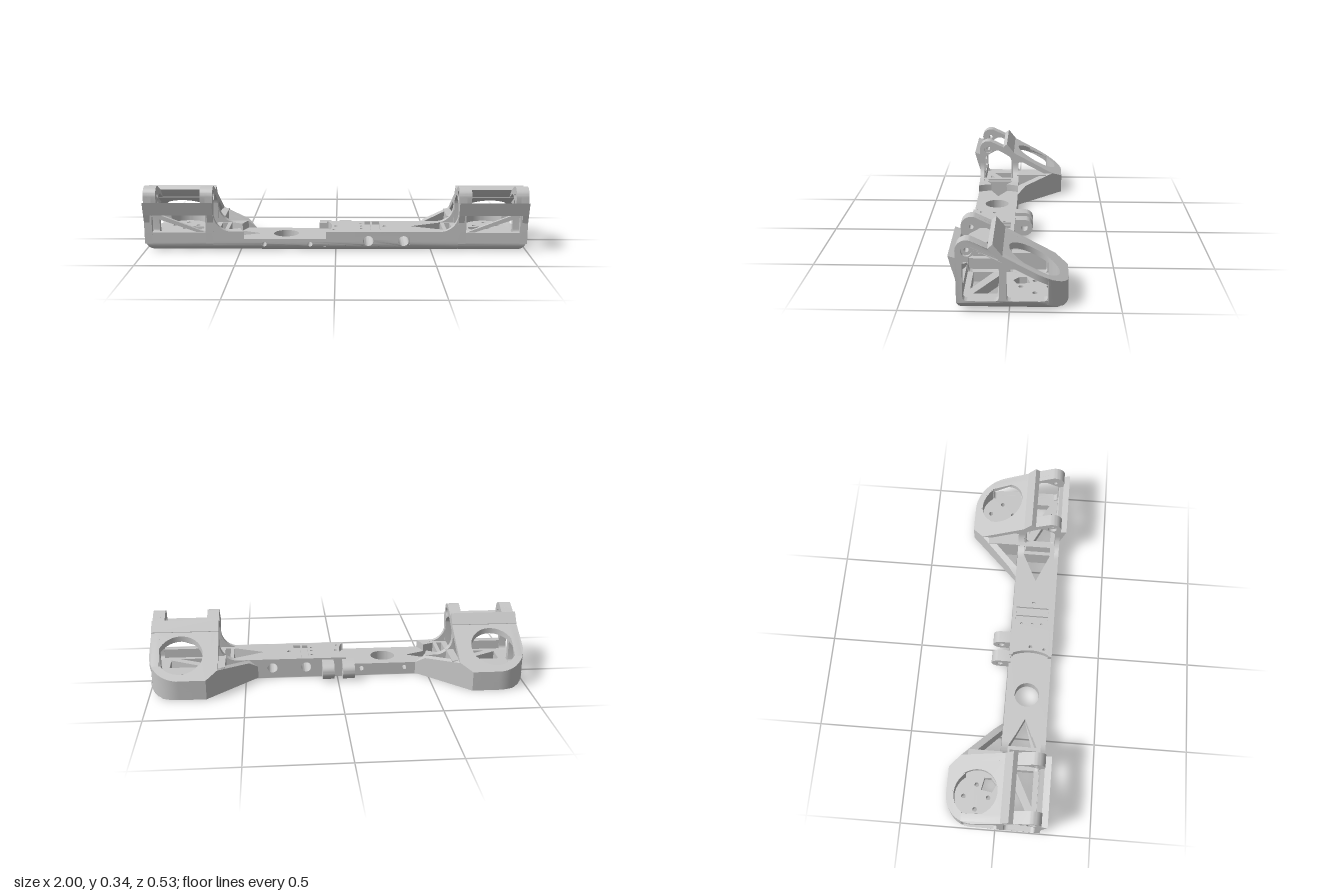
import * as THREE from 'three';
import { toCreasedNormals } from 'three/addons/utils/BufferGeometryUtils.js';

const grey = new THREE.MeshStandardMaterial({ color: 0xc6c6c6 });
grey.name = 'grey';

// Points of an arc, angles in degrees
function arc(cx, cy, r, a0, a1, n = 16) {
  return Array.from({ length: n + 1 }, (_, i) => {
    const a = THREE.MathUtils.degToRad(a0 + (a1 - a0) * i / n);
    return [cx + r * Math.cos(a), cy + r * Math.sin(a)];
  });
}
const circle = (cx, cy, r) => arc(cx, cy, r, 0, 352.5, 47);
const rect = (a0, b0, a1, b1) => [[a0, b0], [a1, b0], [a1, b1], [a0, b1]];

// Polygon with rounded corners
function rounded(pts, r) {
  const v = pts.map(p => new THREE.Vector2(...p)), out = [];
  v.forEach((p, i) => {
    const a = v[(i + v.length - 1) % v.length], b = v[(i + 1) % v.length];
    const s = p.clone().add(a.clone().sub(p).setLength(r));
    const e = p.clone().add(b.clone().sub(p).setLength(r));
    new THREE.QuadraticBezierCurve(s, p, e).getPoints(6).forEach(q => out.push([q.x, q.y]));
  });
  return out;
}

// Extrude an outline: axis x takes [z, y], axis y takes [x, z], axis z takes [x, y]
function extrude(axis, from, to, outline, holes = [], steps = 1) {
  const map = (p, clockwise) => {
    const v = p.map(([a, b]) => new THREE.Vector2(axis === 'x' ? -a : a, axis === 'y' ? -b : b));
    return THREE.ShapeUtils.isClockWise(v) === clockwise ? v : v.reverse();
  };
  const shape = new THREE.Shape(map(outline, false));
  holes.forEach(h => shape.holes.push(new THREE.Path(map(h, true))));
  const g = new THREE.ExtrudeGeometry(shape, { depth: to - from, bevelEnabled: false, steps });
  g.translate(0, 0, from);
  if (axis === 'x') g.rotateY(Math.PI / 2);
  if (axis === 'y') g.rotateX(-Math.PI / 2);
  return g;
}

// Move every vertex by a rule
function warp(g, rule) {
  const p = g.attributes.position, v = new THREE.Vector3();
  for (let i = 0; i < p.count; i++) {
    rule(v.fromBufferAttribute(p, i));
    p.setXYZ(i, v.x, v.y, v.z);
  }
  return g;
}

// Mirrored copy in x with corrected winding
function mirror(g) {
  const m = g.clone().scale(-1, 1, 1);
  const p = m.attributes.position, a = new THREE.Vector3(), b = new THREE.Vector3();
  for (let i = 0; i < p.count; i += 3) {
    a.fromBufferAttribute(p, i + 1);
    b.fromBufferAttribute(p, i + 2);
    p.setXYZ(i + 1, b.x, b.y, b.z);
    p.setXYZ(i + 2, a.x, a.y, a.z);
  }
  return m;
}

// Edge limit at height y for a rounded bottom edge
const limit = (y, edge, r) => y >= r ? edge : edge - r + Math.sqrt(Math.max(0, r * r - (r - y) ** 2));
const slope = z => 0.105 + 0.54 * (z + 0.266);
const roundBar = g => warp(g, v => { v.z = Math.min(v.z, limit(v.y, 0.235, 0.045)); });
const roundFloor = g => roundBar(warp(g, v => { v.x = Math.min(v.x, limit(v.y, 1, 0.07)); }));

// Parts of the +x bracket
function bracketParts() {
  const parts = [], add = (name, g) => parts.push([name, g]);
  const cx = 0.84, cz = -0.106, R = 0.16, r = 0.12;
  const rear = [...arc(cx, cz, R, 0, -90), [0.70, -0.266], [0.64, -0.206]];

  // Floor with truss cutouts, screw holes and a cable opening
  add('bracketFloor', roundFloor(extrude('y', 0, 0.05, [[0.64, 0.235], [1, 0.235], ...rear], [
    [[0.68, 0.182], [0.68, 0.085], [0.87, 0.182]],
    [[0.72, 0.055], [0.92, 0.055], [0.92, 0.165]],
    ...[[0, 1], [1, 0], [0, -1], [-1, 0]].map(([a, b]) => circle(cx + a * 0.065, -0.113 + b * 0.065, 0.012)),
    [[0.80, -0.09], [0.735, -0.075], [0.735, -0.04], [0.77, -0.01], [0.81, -0.03]],
  ], 8)));

  // Curved rear wall following the sloped top
  add('bracketRearWall', warp(extrude('y', 0, 1, [
    ...arc(cx, cz, R, -25.5, -90), [0.70, -0.266], [0.64, -0.206], [0.64, -0.175],
    ...arc(cx, cz, r, -145, -35, 24)]), v => { v.y = 0.045 + v.y * (slope(v.z) - 0.046); }));

  // Sloped top plate with the round opening
  add('bracketTopPlate', warp(extrude('y', 0, 1, [[0.64, 0.05], [1, 0.05], ...rear],
    [circle(cx, -0.115, r)]), v => { v.y = slope(v.z) - 0.03 * (1 - v.y); }));

  // Side plates with two windows and a hinge hole
  const hinge = arc(0.187, 0.288, 0.05, 118, 0);
  const outline = [[0.235, 0.04], [-0.175, 0.04], [-0.175, slope(-0.175)], [0.095, 0.30], ...hinge];
  const windows = [
    rounded([[0.207, 0.05], [0.045, 0.05], [0.045, 0.235], [0.13, 0.285], [0.207, 0.24]], 0.022),
    rounded([[0.012, 0.05], [-0.171, 0.05], [-0.171, 0.127], [-0.025, 0.208], [0.012, 0.2]], 0.018),
  ];
  const plate = (a, b) => extrude('x', a, b, outline, [...windows, circle(0.187, 0.288, 0.025)]);
  add('outerSidePlate', warp(plate(0.96, 1), v => { if (v.z < -0.15) v.x -= 0.015; }));
  add('innerSidePlate', plate(0.64, 0.68));

  // Thick upper rails carrying the hinge bores
  const rail = [[0.233, 0.25], [0.205, 0.25], [0.145, 0.283], [0.115, 0.283], [0.05, 0.248], [0.04, 0.268], [0.095, 0.299], ...hinge];
  for (const [a, b] of [[0.935, 0.985], [0.655, 0.705]])
    add('hingeRail', extrude('x', a, b, rail, [circle(0.187, 0.288, 0.011)]));

  // Cross ridge behind the hinge
  add('rearRidge', extrude('x', 0.64, 1, [[0.095, 0.30], [0.072, 0.32], [0.03, 0.268], [0.03, 0.24], [0.048, 0.25]]));

  // Front sill, tilted lip and diagonal brace
  add('frontSill', extrude('x', 0.64, 0.997, rect(0.209, 0.045, 0.235, 0.1)));
  add('frontLip', extrude('x', 0.64, 1, [[0.268, 0.265], [0.249, 0.195], [0.215, 0.195], [0.235, 0.255]]));
  for (const [a, b] of [[0.64, 0.67], [0.97, 1]])
    add('lipGusset', extrude('x', a, b, [[0.25, 0.2], [0.235, 0.15], [0.22, 0.15], [0.22, 0.2]]));
  add('frontBrace', extrude('z', 0.21, 0.228, [[0.67, 0.095], [0.71, 0.095], [0.97, 0.185], [0.97, 0.2], [0.94, 0.2]]));

  // Diagonal strut from the beam to the rear of the bracket
  add('diagonalStrut', warp(extrude('y', 0, 1, [[0.434, 0], [0.48, -0.046], [0.6, -0.166], [0.64, -0.206],
    [0.66, -0.18], [0.64, -0.16], [0.6, -0.118], [0.482, 0]]), v => {
    v.y *= v.x < 0.45 ? 0.065 : 0.105 + Math.max(0, v.x - 0.6) * 0.75;
  }));
  add('innerRib', extrude('y', 0, 0.135, rect(0.605, -0.17, 0.645, 0.01)));

  // Curved fillets joining the beam to the inner side plate
  for (const [a, b] of [[0.21, 0.235], [0, 0.035]])
    add('beamFillet', extrude('z', a, b, [[0.55, 0.1], [0.645, 0.1], [0.645, 0.2], ...arc(0.545, 0.2, 0.095, 0, -90)]));
  return parts;
}

export function createModel() {
  const model = new THREE.Group();
  model.name = 'mountingBeam';
  const put = (name, g, parent = model) => {
    g.deleteAttribute('uv');
    g.deleteAttribute('normal');
    const mesh = new THREE.Mesh(toCreasedNormals(g, 0.6), grey);
    mesh.name = name;
    parent.add(mesh);
  };

  // Both end brackets
  const left = new THREE.Group(), right = new THREE.Group();
  left.name = 'leftBracket';
  right.name = 'rightBracket';
  model.add(left, right);
  for (const [name, g] of bracketParts()) {
    put(name, mirror(g), right);
    put(name, g, left);
  }

  // Beam ends with triangular cutouts and slots
  const triangle = [[0.40, 0.115], [0.565, 0.035], [0.565, 0.187]];
  const slot = rect(0.585, 0.045, 0.615, 0.185);
  const end = h => roundBar(extrude('y', 0, h, rect(0.385, 0, 0.645, 0.235), [triangle, slot], 10));
  put('leftBeamEnd', end(0.105));
  put('rightBeamEnd', mirror(end(0.065)));

  // Raised right end, cut by the round recess
  const hx = -0.265, hz = 0.1175, rr = 0.245;
  put('rightRaisedEnd', extrude('y', 0.06, 0.105, [
    [-0.645, 0], ...arc(hx, hz, rr, 208.7, 191.5, 6), [-0.565, 0.035], [-0.565, 0.187],
    ...arc(hx, hz, rr, 170, 151.3, 6), [-0.645, 0.235]], [slot.map(([x, z]) => [-x, z])]));

  // Beam underside with one through hole and two pockets
  const bores = [hx, 0, 0.26];
  put('beamBottom', roundBar(extrude('y', 0, 0.022, rect(-0.39, 0, 0.39, 0.235),
    bores.map(x => circle(x, 0.115, 0.067)), 4)));
  for (const x of bores.slice(1)) put('pocketFloor', extrude('y', 0.019, 0.024, circle(x, 0.115, 0.07)));
  put('throughBore', extrude('y', 0.002, 0.064, circle(hx, 0.115, 0.071), [circle(hx, 0.115, 0.067)]));

  // Beam front and back walls, with cross bores lined by tubes
  const cross = [[-0.375, 0.037, 0.013], [-0.135, 0.037, 0.013], [0.17, 0.055, 0.027], [0.355, 0.055, 0.027]];
  const wall = [[-0.39, 0.02], [0.39, 0.02], [0.39, 0.105], [-0.049, 0.105], [-0.049, 0.065], [-0.39, 0.065]];
  const beamWall = (a, b) => extrude('z', a, b, wall, cross.map(c => circle(...c)));
  put('beamBack', beamWall(0, 0.02));
  put('beamFront', warp(beamWall(0.215, 0.235), v => { v.z += limit(v.y, 0, 0.045); }));
  for (const [x, y, r] of cross)
    put('crossBore', extrude('z', 0.002, 0.227, circle(x, y, r + 0.002), [circle(x, y, r)]));

  // Recessed deck, curved step and raised deck with pockets
  put('recessedDeck', extrude('y', 0.05, 0.065, rect(-0.39, 0, 0.02, 0.235), [circle(hx, 0.115, 0.067)]));
  put('curvedStep', extrude('y', 0.05, 0.105, [...arc(hx, hz, rr, -28.7, 28.7), [0.1, 0.235], [0.1, 0]],
    [circle(0, 0.115, 0.01), circle(-0.01, 0.19, 0.008)]));
  put('raisedDeck', extrude('y', 0.09, 0.105, rect(0.1, 0, 0.39, 0.235), [
    rect(0.155, 0.02, 0.185, 0.2), rect(0.195, 0.02, 0.235, 0.2), circle(0.26, 0.115, 0.011),
    ...[0.055, 0.115, 0.165].map(z => circle(0.135, z, 0.008))]));
  put('deckPocketFloor', extrude('y', 0.084, 0.089, rect(0.105, 0.01, 0.28, 0.21)));

  // Rear lugs
  for (const x of [-0.09, 0.02])
    put('rearLug', extrude('x', x, x + 0.064, [[0.01, 0.005], ...arc(-0.05, 0.05, 0.045, 270, 90), [0.01, 0.095]],
      [circle(-0.05, 0.05, 0.018)]));
  return model;
}
